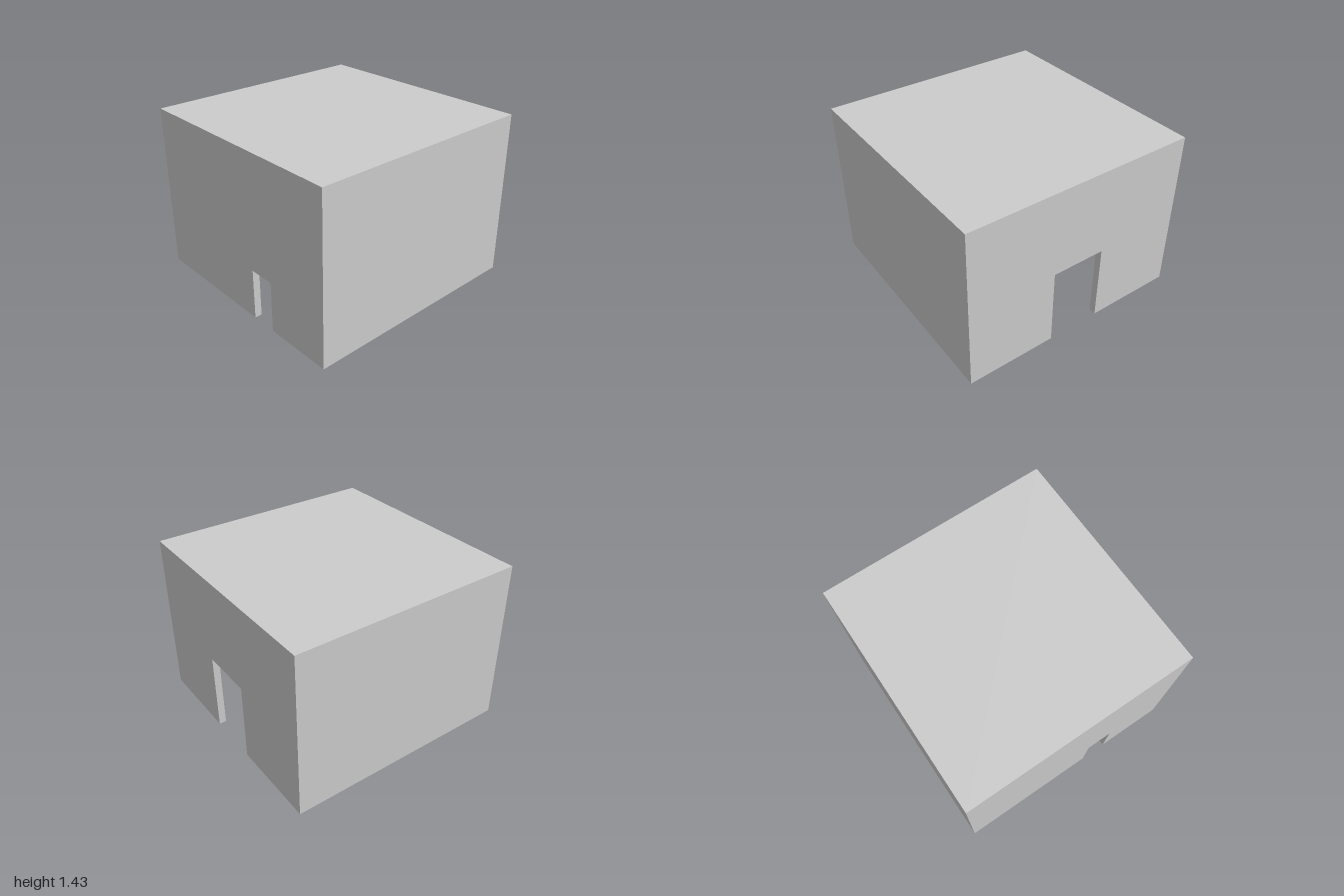
import * as THREE from 'three';

const HALF = 1;          // half width and half depth
const HEIGHT = 1.43;     // overall height
const T = 0.06;          // wall and roof thickness
const WALL_H = HEIGHT - T;

const material = new THREE.MeshStandardMaterial({ color: 0xcccccc, flatShading: true });

function add(group, name, geometry, x, y, z) {
  const mesh = new THREE.Mesh(geometry, material);
  mesh.name = name;
  mesh.position.set(x, y, z);
  group.add(mesh);
}

// Wall outline with a doorway notched out of its lower edge
function doorWall(x0, x1, doorH) {
  const outline = [
    [-HALF, 0], [x0, 0], [x0, doorH], [x1, doorH], [x1, 0],
    [HALF, 0], [HALF, WALL_H], [-HALF, WALL_H],
  ].map(([x, y]) => new THREE.Vector2(x, y));
  return new THREE.ExtrudeGeometry(new THREE.Shape(outline), { depth: T, bevelEnabled: false });
}

export function createModel() {
  const room = new THREE.Group();
  room.name = 'room';

  // End walls: small door in front, larger one at the back
  add(room, 'frontWall', doorWall(0.185, 0.41, 0.435), 0, 0, HALF - T);
  add(room, 'backWall', doorWall(-0.23, 0.235, 0.68), 0, 0, -HALF);

  // Plain side walls fitted between the end walls
  for (const [name, side] of [['leftWall', 1], ['rightWall', -1]]) {
    add(room, name, new THREE.BoxGeometry(T, WALL_H, 2 * (HALF - T)),
      side * (HALF - T / 2), WALL_H / 2, 0);
  }

  // Flat roof slab, flush with the walls; the floor is open
  add(room, 'roof', new THREE.BoxGeometry(2 * HALF, T, 2 * HALF), 0, HEIGHT - T / 2, 0);

  return room;
}
